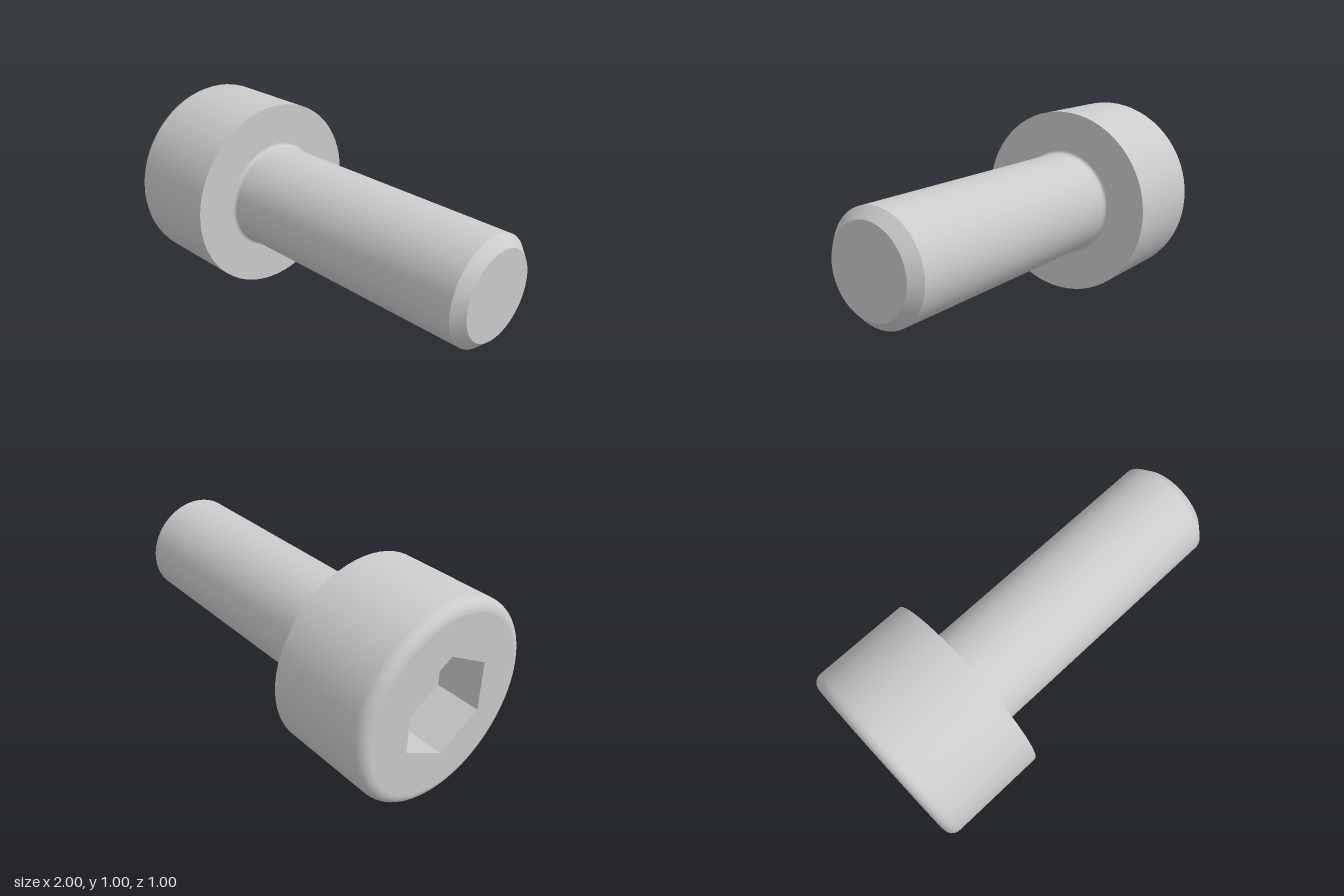
import * as THREE from 'three';
import { toCreasedNormals } from 'three/addons/utils/BufferGeometryUtils.js';

const SEG = 64;
const HEAD_R = 0.5, SHAFT_R = 0.273, TIP_R = 0.222;
const HEAD_X = -1, SEAT_X = -0.455, TIP_X = 1;
const ROUND = 0.055, FILLET = 0.018;
const HEX_R = 0.262, HEX_DEPTH = 0.236;

export function createModel() {
  const group = new THREE.Group();
  group.name = 'socketHeadScrew';
  const material = new THREE.MeshStandardMaterial({ color: 0xcccccc });

  const add = (name, geometry) => {
    const mesh = new THREE.Mesh(geometry, material);
    mesh.name = name;
    mesh.position.y = 0.5;
    group.add(mesh);
  };

  // Turn a profile of [radius, x] points around the x axis
  const turn = (points) => {
    const lathe = new THREE.LatheGeometry(points.map(([r, x]) => new THREE.Vector2(r, x)), SEG);
    return toCreasedNormals(lathe.rotateZ(-Math.PI / 2), 0.5);
  };

  // Quarter arc of profile points between two angles
  const arc = (r, x, radius, from, to, steps = 6) =>
    Array.from({ length: steps + 1 }, (_, i) => {
      const a = from + ((to - from) * i) / steps;
      return [r + radius * Math.cos(a), x + radius * Math.sin(a)];
    });

  // Head: rounded outer rim, straight side, flat seat
  add('head', turn([
    ...arc(HEAD_R - ROUND, HEAD_X + ROUND, ROUND, -Math.PI / 2, 0),
    [HEAD_R, SEAT_X],
    [SHAFT_R + FILLET, SEAT_X],
  ]));

  // Shaft: small fillet under the head, chamfered flat tip
  add('shaft', turn([
    ...arc(SHAFT_R + FILLET, SEAT_X + FILLET, FILLET, -Math.PI / 2, -Math.PI),
    [SHAFT_R, TIP_X - 0.051],
    [TIP_R, TIP_X],
    [0, TIP_X],
  ]));

  // End face of the head with a hexagonal opening
  const hexPoints = Array.from({ length: 6 }, (_, i) => {
    const a = Math.PI / 2 + (i * Math.PI) / 3;
    return new THREE.Vector2(HEX_R * Math.cos(a), HEX_R * Math.sin(a));
  });
  const face = new THREE.Shape().absarc(0, 0, HEAD_R - ROUND, 0, Math.PI * 2);
  face.holes.push(new THREE.Path(hexPoints).closePath());
  add('headFace', new THREE.ShapeGeometry(face, SEG).rotateY(-Math.PI / 2).translate(HEAD_X, 0, 0));

  // Socket walls, mirrored so that they face inwards
  const walls = new THREE.CylinderGeometry(HEX_R, HEX_R, HEX_DEPTH, 6, 1, true)
    .rotateY(Math.PI / 2)
    .rotateZ(-Math.PI / 2)
    .scale(1, -1, 1)
    .translate(HEAD_X + HEX_DEPTH / 2, 0, 0)
    .toNonIndexed();
  walls.computeVertexNormals();
  add('socketWalls', walls);

  // Socket floor
  add('socketFloor', new THREE.ShapeGeometry(new THREE.Shape(hexPoints))
    .rotateY(-Math.PI / 2)
    .translate(HEAD_X + HEX_DEPTH, 0, 0));

  return group;
}
